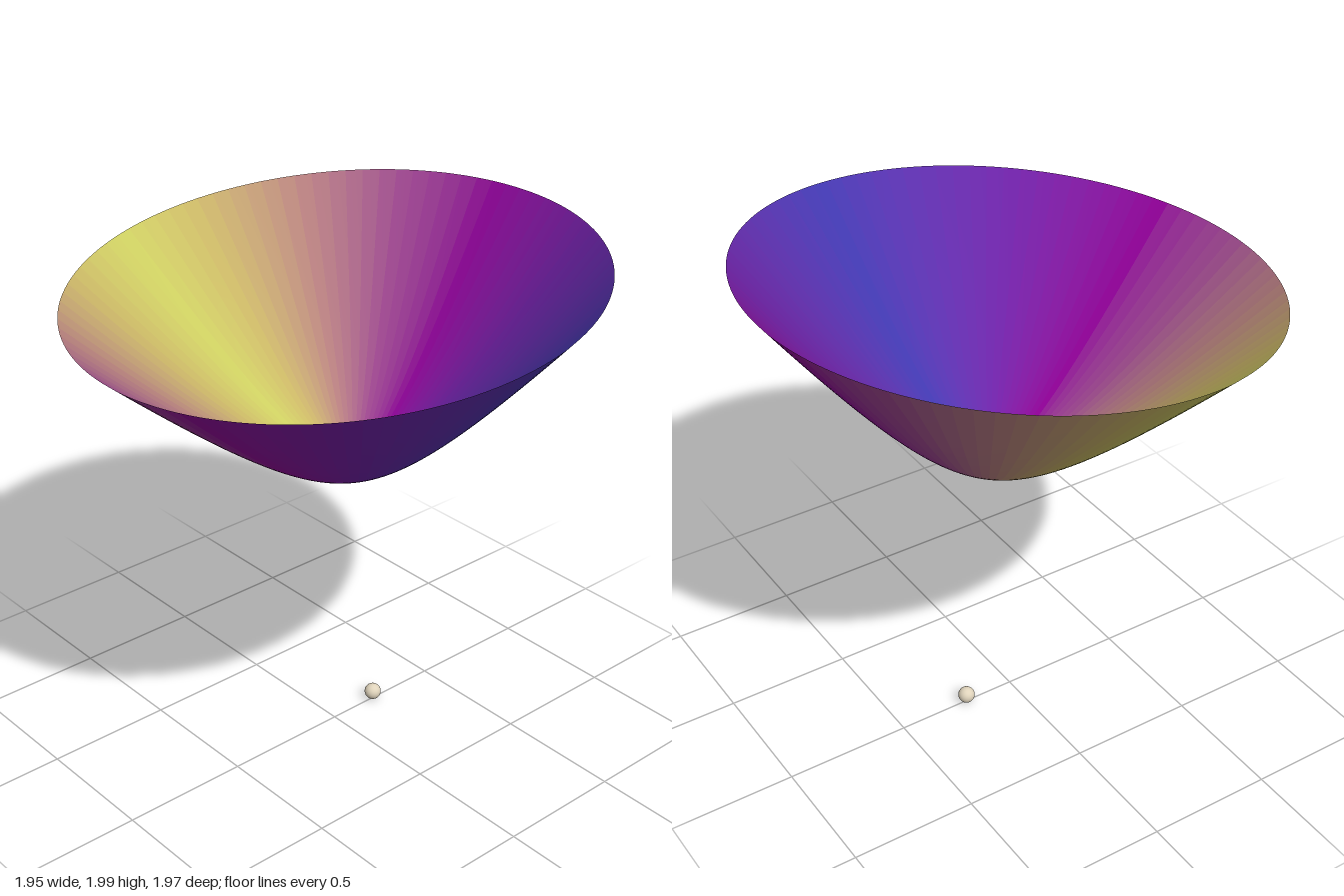
import * as THREE from 'three';

// Half axes of the hyperboloid, its focal distance and rim radius
const A = 0.4695, B = 0.4, C = Math.hypot(A, B), RIM = 0.983;
const WEDGES = 90, RINGS = 40;

// Colours by angular distance (degrees) from the yellow side of the bowl
const STOPS = [[0, 0xcccf60], [22, 0xc8b464], [48, 0xb8807e], [72, 0xa04890],
  [95, 0x900098], [130, 0x6e20a6], [180, 0x4038b0]];

function colorAt(deg) {
  const d = Math.abs(((deg + 540) % 360) - 180);
  const i = Math.max(1, STOPS.findIndex(([a]) => a >= d));
  const [a0, c0] = STOPS[i - 1], [a1, c1] = STOPS[i];
  return new THREE.Color(c0).lerp(new THREE.Color(c1), (d - a0) / (a1 - a0));
}

function focusBall(name, y, color) {
  const ball = new THREE.Mesh(
    new THREE.SphereGeometry(0.033, 32, 20),
    new THREE.MeshStandardMaterial({ color }));
  ball.name = name;
  ball.position.y = y;
  return ball;
}

export function createModel() {
  const model = new THREE.Group();
  model.name = 'hyperboloidWithFoci';

  // Tilted frame, centred between the two foci
  const tilted = new THREE.Group();
  tilted.name = 'tiltedAxis';
  tilted.position.set(0.137, 0.647, 0);
  tilted.rotation.z = 0.1129;
  model.add(tilted);

  // Upper sheet: one smooth profile, swept in graded wedges
  const sheet = new THREE.Group();
  sheet.name = 'hyperboloidSheet';
  const profile = Array.from({ length: RINGS + 1 }, (_, i) => {
    const r = RIM * i / RINGS;
    return new THREE.Vector2(r, A * Math.sqrt(1 + (r / B) ** 2));
  });
  const step = 2 * Math.PI / WEDGES;
  for (let i = 0; i < WEDGES; i++) {
    const mid = (i + 0.5) * 360 / WEDGES;
    const wedge = new THREE.Mesh(
      new THREE.LatheGeometry(profile, 2, i * step, step),
      new THREE.MeshStandardMaterial({ color: colorAt(mid - 195), side: THREE.DoubleSide }));
    wedge.name = 'sheetWedge' + (i + 1);
    sheet.add(wedge);
  }
  tilted.add(sheet);

  // Foci on the axis, one inside the bowl and one far below
  tilted.add(focusBall('upperFocus', C, 0xd4dcdc), focusBall('lowerFocus', -C, 0xe0d4bc));
  return model;
}
